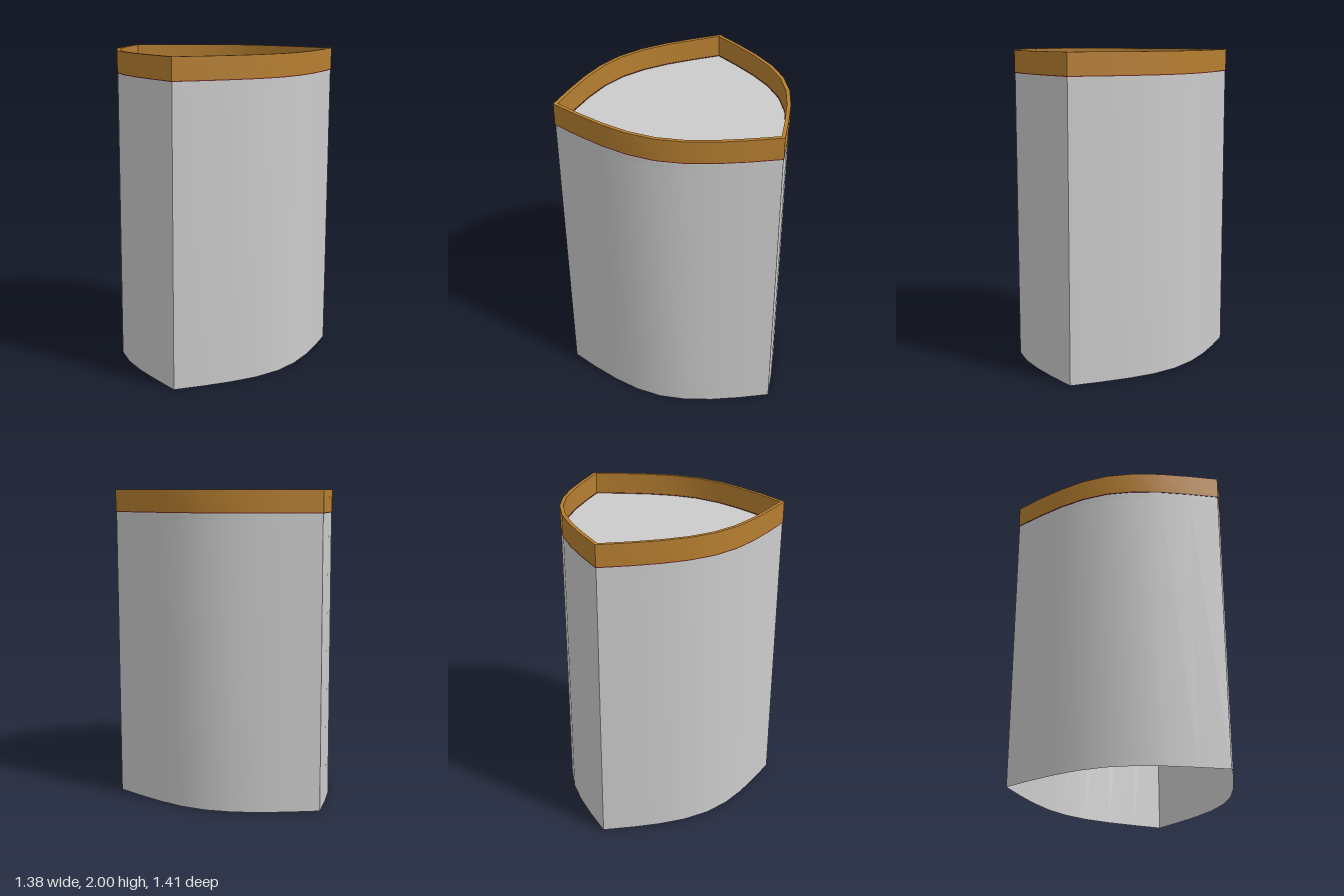
import * as THREE from 'three';
import { toCreasedNormals } from 'three/addons/utils/BufferGeometryUtils.js';

// Right half of the plan outline (x, z), from the back point to the front middle
const half = [
  [0, -0.707], [0.165, -0.59], [0.305, -0.48], [0.43, -0.36], [0.533, -0.22],
  [0.603, -0.063], [0.645, 0.108], [0.672, 0.296], [0.692, 0.49],
  [0.51, 0.573], [0.34, 0.64], [0.172, 0.688], [0, 0.707],
];
// Shape plane uses y = -z; the left half is mirrored
const outline = [
  ...half,
  ...half.slice(1, -1).reverse().map(([x, z]) => [-x, z]),
].map(([x, z]) => new THREE.Vector2(x, -z));

// Move the outline inward by d with mitred corners
function inset(d) {
  const n = outline.length;
  const inward = (a, b) => {
    const e = b.clone().sub(a).normalize();
    return new THREE.Vector2(e.y, -e.x);
  };
  return outline.map((p, i) => {
    const n1 = inward(outline[(i + n - 1) % n], p);
    const n2 = inward(p, outline[(i + 1) % n]);
    return p.clone().addScaledVector(n1.clone().add(n2), d / (1 + n1.dot(n2)));
  });
}

// Upright prism of the outline, hollow when an inner inset is given
function prism(name, material, y0, y1, outer, inner) {
  const shape = new THREE.Shape(inset(outer));
  // The hole runs against the outline so that its walls face inward
  if (inner) shape.holes.push(new THREE.Path(inset(inner).reverse()));
  const geo = new THREE.ExtrudeGeometry(shape, { depth: y1 - y0, bevelEnabled: false });
  geo.rotateX(-Math.PI / 2).translate(0, y0, 0);
  const mesh = new THREE.Mesh(toCreasedNormals(geo, 0.5), material);
  mesh.name = name;
  return mesh;
}

// Thin open wall following the outline
function wallSheet(name, material, y0, y1, d) {
  const pts = inset(d);
  const pos = [];
  pts.forEach((a, i) => {
    const b = pts[(i + 1) % pts.length];
    const A = [a.x, y0, -a.y], B = [b.x, y0, -b.y];
    const C = [b.x, y1, -b.y], D = [a.x, y1, -a.y];
    pos.push(...A, ...C, ...B, ...A, ...D, ...C);
  });
  const geo = new THREE.BufferGeometry();
  geo.setAttribute('position', new THREE.Float32BufferAttribute(pos, 3));
  const mesh = new THREE.Mesh(toCreasedNormals(geo, 0.5), material);
  mesh.name = name;
  return mesh;
}

export function createModel() {
  const group = new THREE.Group();
  group.name = 'towerBlock';
  const grey = new THREE.MeshStandardMaterial({ color: 0xcccccc });
  const greySheet = new THREE.MeshStandardMaterial({ color: 0xcccccc, side: THREE.DoubleSide });
  const ochre = new THREE.MeshStandardMaterial({ color: 0xb67e30 });
  const darkRed = new THREE.MeshStandardMaterial({ color: 0x6b2a22 });

  group.add(
    // Curved outer walls, open at the bottom
    wallSheet('walls', greySheet, 0, 1.82, 0.003),
    // Roof slab, flush with the walls
    prism('roofSlab', grey, 1.82, 1.86, 0.003),
    // Thin joint under the parapet
    prism('parapetJoint', darkRed, 1.858, 1.864, 0, 0.026),
    // Parapet band around the roof
    prism('parapet', ochre, 1.864, 2, 0, 0.023),
  );
  return group;
}
